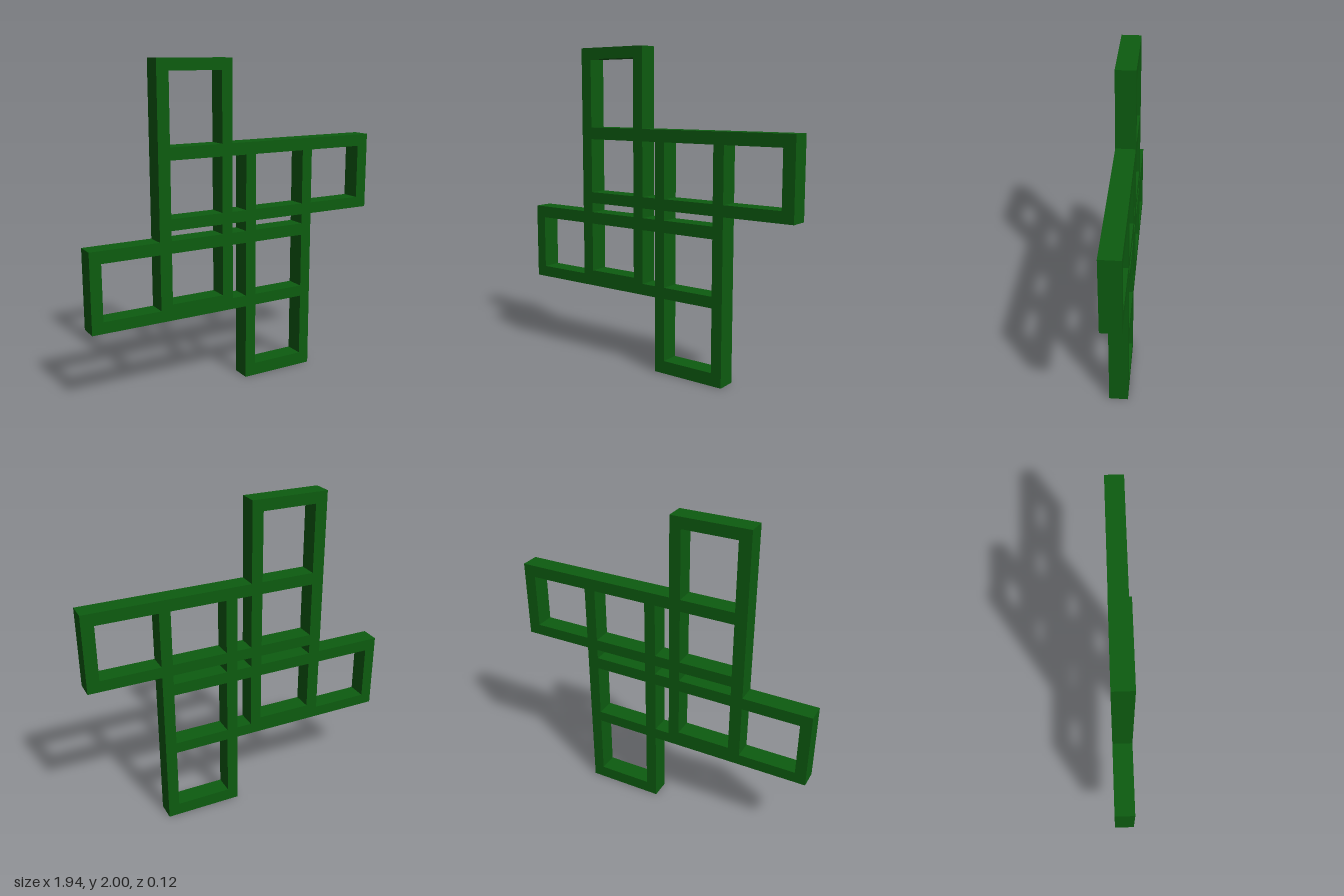
import * as THREE from 'three';

const DEPTH = 0.12;

// Closed rectangular path, used for each opening
function rectPath([x0, x1], [y0, y1]) {
  return new THREE.Path([[x0, y0], [x1, y0], [x1, y1], [x0, y1]].map(([x, y]) => new THREE.Vector2(x, y)));
}

export function createModel() {
  const group = new THREE.Group();
  group.name = 'interlockedFrames';

  // Outer silhouette of four overlapping rectangular frames in a pinwheel
  const outline = [
    [-0.54, 2], [-0.54, 0.96], [-0.97, 0.96], [-0.97, 0.475], [0.04, 0.475], [0.04, 0],
    [0.525, 0], [0.525, 1.02], [0.97, 1.02], [0.97, 1.505], [-0.055, 1.505], [-0.055, 2],
  ];
  const shape = new THREE.Shape(outline.map(([x, y]) => new THREE.Vector2(x, y)));

  // Central grid of openings between the crossing bars
  const columns = [[-0.465, -0.125], [-0.055, 0.04], [0.11, 0.455]];
  const rows = [[0.545, 0.885], [0.96, 1.02], [1.09, 1.43]];
  columns.forEach((column, i) => rows.forEach((row, j) => {
    // The upright left frame ends on a slightly thicker bottom bar
    const opening = i === 0 && j === 0 ? [0.575, row[1]] : row;
    shape.holes.push(rectPath(column, opening));
  }));

  // Openings in the four protruding arms
  shape.holes.push(
    rectPath(columns[0], [1.505, 1.93]),
    rectPath(columns[2], [0.08, 0.475]),
    rectPath([-0.9, -0.54], rows[0]),
    rectPath([0.525, 0.895], rows[2]),
  );

  const geometry = new THREE.ExtrudeGeometry(shape, { depth: DEPTH, bevelEnabled: false });
  geometry.translate(0, 0, -DEPTH / 2);
  const frames = new THREE.Mesh(geometry, new THREE.MeshStandardMaterial({ color: 0x0d5c10 }));
  frames.name = 'frameLattice';
  group.add(frames);
  return group;
}
